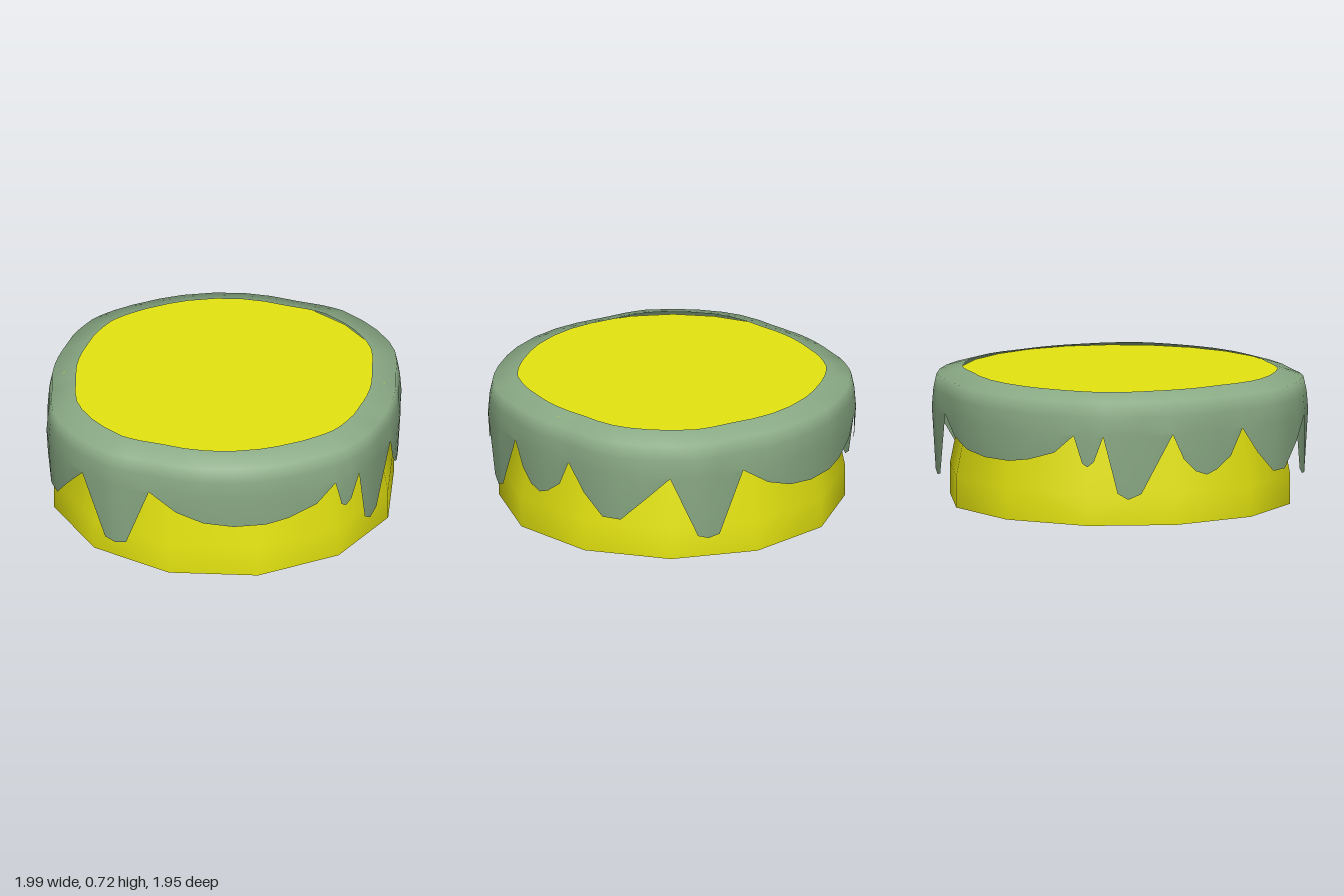
import * as THREE from 'three';

const sponge = new THREE.MeshStandardMaterial({ color: 0xe4e410, side: THREE.DoubleSide });
sponge.name = 'yellow sponge';
const icing = new THREE.MeshStandardMaterial({ color: 0x8aaa85, side: THREE.DoubleSide });
icing.name = 'green icing';

// Icing outer radius by angle (degrees from +z towards +x); repeats every 180 degrees
const RADII = [
  [14.6, 0.975], [34.8, 1.0], [58.6, 0.96], [83, 0.955], [96.8, 1.005], [106.5, 1.02],
  [128.7, 1.02], [144.7, 0.968], [159, 0.975], [170.5, 0.975], [194.6, 0.975],
];

// Height of the icing's lower edge by angle: notches at 0.5, drips between them
const DRIPS = [
  [26.3, 0.5], [29, 0.35], [30.7, 0.33], [32.8, 0.36],
  [35.8, 0.5], [40.3, 0.185], [43.7, 0.15], [48, 0.18],
  [58.4, 0.5], [62.4, 0.36], [66.7, 0.29], [71, 0.265], [75, 0.29], [80.4, 0.355],
  [84.7, 0.5], [91, 0.355], [98, 0.24], [104.2, 0.24], [112, 0.37],
  [119.8, 0.5], [128.5, 0.155], [132, 0.135], [135.7, 0.15],
  [143.8, 0.5], [153, 0.4], [162, 0.35], [171.8, 0.33], [182.3, 0.33], [190, 0.35], [199.6, 0.4],
];

function radiusAt(angle) {
  let a = angle % 180;
  if (a < RADII[0][0]) a += 180;
  for (let i = 1; i < RADII.length; i++) {
    const [a0, r0] = RADII[i - 1], [a1, r1] = RADII[i];
    if (a <= a1) return r0 + (r1 - r0) * (a - a0) / (a1 - a0);
  }
  return RADII[RADII.length - 1][1];
}

// Icing shell: one column per drip point, going from the inner rim down to the drip edge
function icingGeometry() {
  const columns = [...DRIPS, ...DRIPS.map(([a, y]) => [a + 180, y])];
  const rows = 5;
  const positions = [], index = [];
  for (const [angle, low] of columns) {
    const r = radiusAt(angle);
    const t = THREE.MathUtils.degToRad(angle);
    const taper = 1 - 0.06 * (0.5 - low);
    const profile = [[0.838, 0.72], [0.975, 0.68], [0.992, 0.6], [1, 0.5], [taper, low]];
    for (const [s, y] of profile) positions.push(r * s * Math.sin(t), y, r * s * Math.cos(t));
  }
  for (let i = 0; i < columns.length; i++) {
    const a = i * rows, b = ((i + 1) % columns.length) * rows;
    for (let j = 0; j < rows - 1; j++) {
      index.push(a + j, a + j + 1, b + j + 1, a + j, b + j + 1, b + j);
    }
  }
  const geometry = new THREE.BufferGeometry();
  geometry.setAttribute('position', new THREE.Float32BufferAttribute(positions, 3));
  geometry.setIndex(index);
  geometry.computeVertexNormals();
  return geometry;
}

export function createModel() {
  const group = new THREE.Group();
  group.name = 'icedCake';
  const add = (name, geometry, material) => {
    const mesh = new THREE.Mesh(geometry, material);
    mesh.name = name;
    group.add(mesh);
    return mesh;
  };

  // Twelve-sided wall, open underneath
  const wall = [[0.938, 0], [0.938, 0.17], [0.87, 0.5], [0.865, 0.64], [0.855, 0.7]];
  add('cakeWall', new THREE.LatheGeometry(wall.map(([r, y]) => new THREE.Vector2(r, y)), 12), sponge);

  // Flat top just below the icing rim
  const top = add('cakeTop', new THREE.CircleGeometry(0.87, 24), sponge);
  top.rotation.x = -Math.PI / 2;
  top.position.y = 0.7;

  add('drippingIcing', icingGeometry(), icing);
  return group;
}
